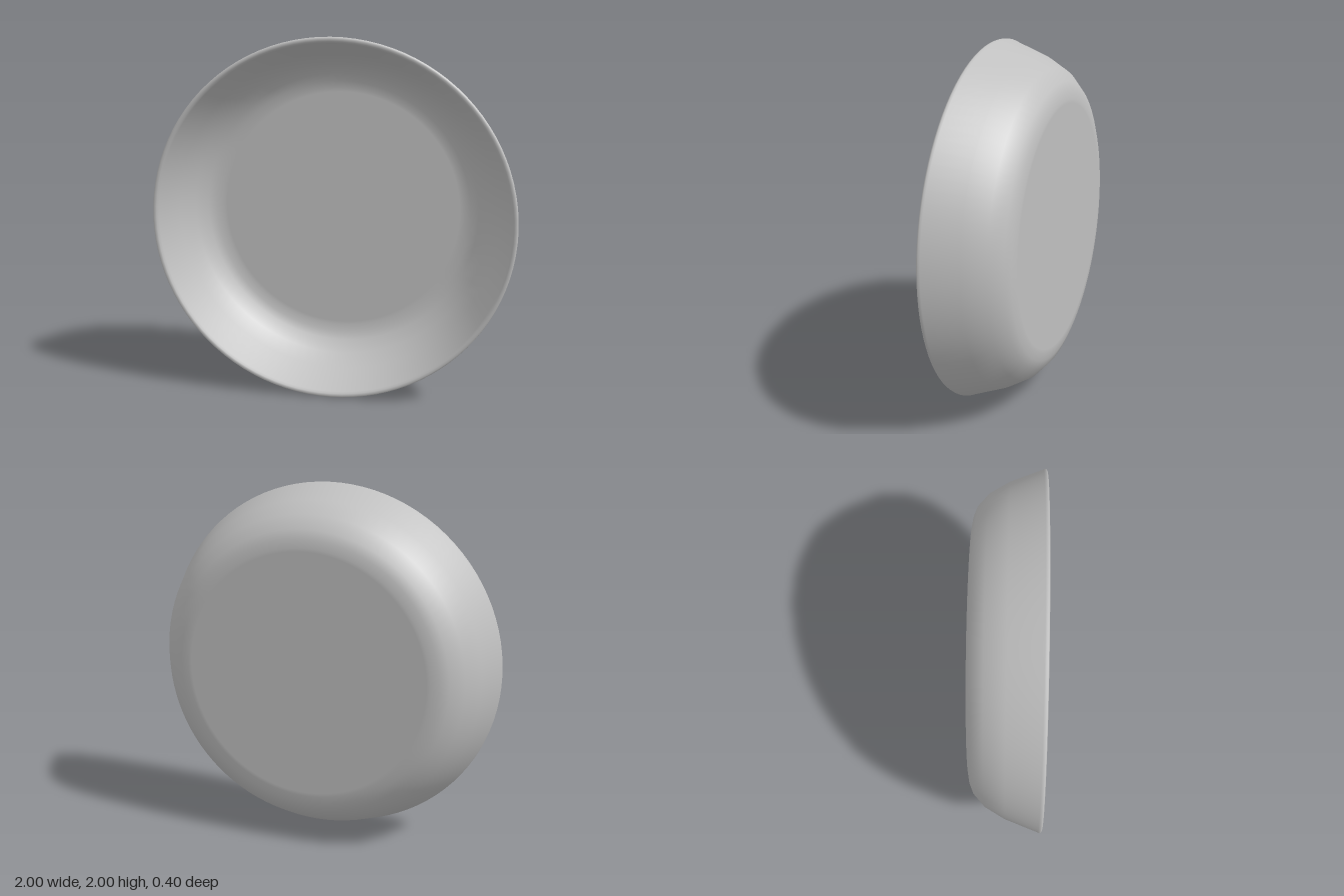
import * as THREE from 'three';

export function createModel() {
  const model = new THREE.Group();
  model.name = 'shallowBowl';
  const grey = new THREE.MeshStandardMaterial({ color: 0xc0c0c0 });
  grey.name = 'plain grey';

  // Closed cross-section as [radius, depth]: outer base, outer wall, rim, inner wall, inner floor
  const profile = [
    [0, -0.2], [0.68, -0.2], [0.7, -0.2], [0.745, -0.192], [0.795, -0.172],
    [0.864, -0.11], [0.928, 0], [0.995, 0.178],
    [1, 0.187], [0.997, 0.196], [0.988, 0.2], [0.977, 0.197], [0.968, 0.186],
    [0.9, 0.005], [0.842, -0.092], [0.78, -0.147], [0.735, -0.165],
    [0.695, -0.172], [0.675, -0.172], [0, -0.172],
  ].map(([r, d]) => new THREE.Vector2(r, d));

  // Revolve, then tip the opening towards the front
  const geometry = new THREE.LatheGeometry(profile, 96);
  geometry.rotateX(Math.PI / 2);
  const bowl = new THREE.Mesh(geometry, grey);
  bowl.name = 'bowl';
  bowl.position.y = 1;
  model.add(bowl);
  return model;
}
